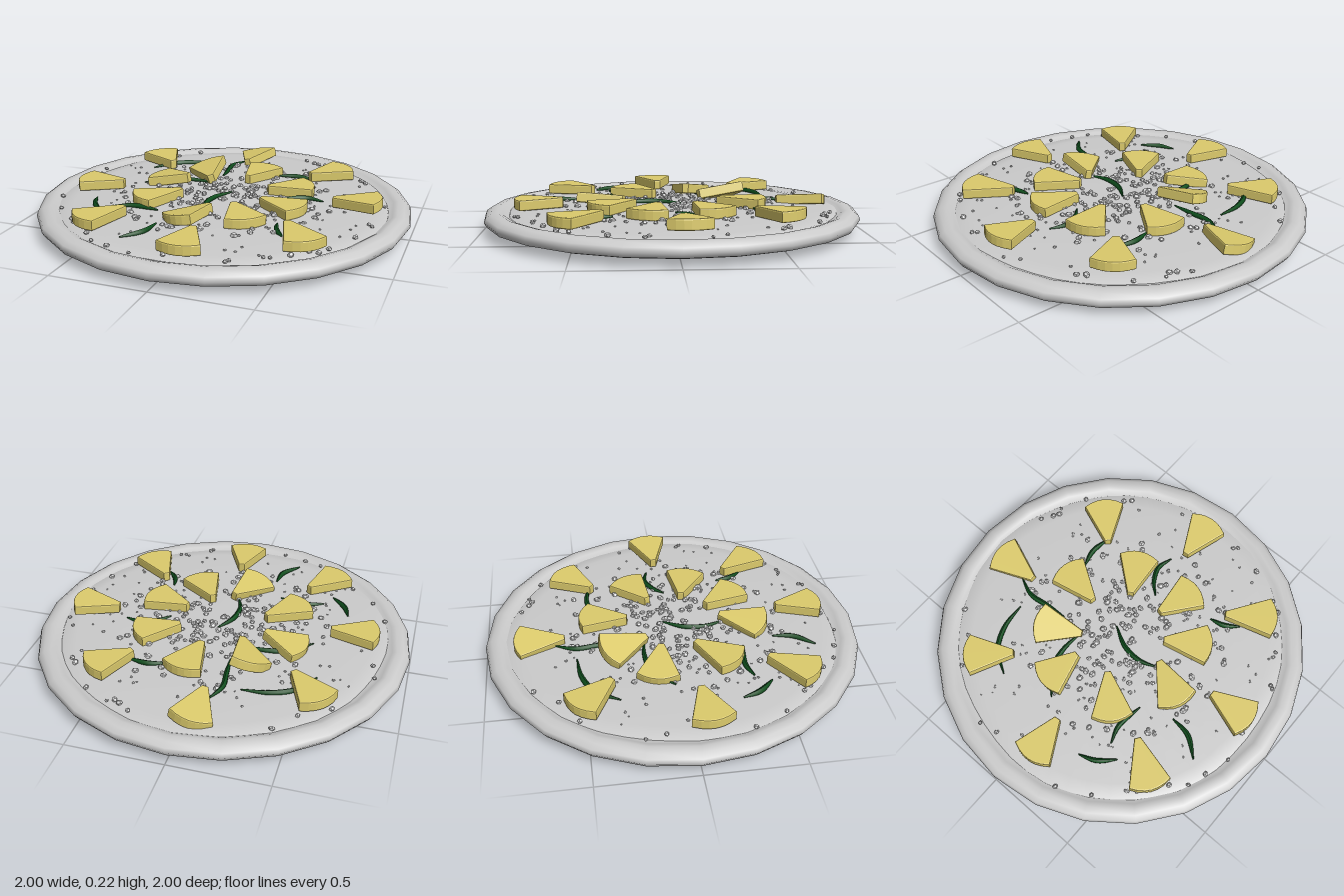
import * as THREE from 'three';
import { mergeGeometries } from 'three/addons/utils/BufferGeometryUtils.js';

const grey = () => new THREE.MeshStandardMaterial({ color: 0xcccccc });
const v2 = (p) => new THREE.Vector2(p[0], p[1]);

// Height of the gently domed topping layer
const surfaceY = (x, z) => 0.121 - 0.017 * (x * x + z * z);

function seeded(seed) {
  return () => {
    seed = (seed * 1664525 + 1013904223) % 4294967296;
    return seed / 4294967296;
  };
}

// Wedge with a blunt tip at the origin and a curved outer edge along +x
function wedgeGeometry(length) {
  const b = 0.007, end = length - b, w = 0.1;
  const s = new THREE.Shape();
  s.moveTo(b, -0.012);
  s.lineTo(end - 0.035, -w);
  s.quadraticCurveTo(end + 0.03, 0, end - 0.035, w);
  s.lineTo(b, 0.012);
  s.closePath();
  const g = new THREE.ExtrudeGeometry(s, {
    depth: 0.041, bevelThickness: b, bevelSize: b, bevelSegments: 2, curveSegments: 6,
  });
  return g.rotateX(-Math.PI / 2);
}

// Thin curved strip, tapered at both ends
function strip(points, material) {
  const curve = new THREE.CatmullRomCurve3(
    points.map(([x, z]) => new THREE.Vector3(x, surfaceY(x, z) + 0.007, z)));
  const rings = 14, sides = 6;
  const g = new THREE.TubeGeometry(curve, rings, 0.014, sides);
  const p = g.attributes.position;
  for (let i = 0; i <= rings; i++) {
    const c = curve.getPointAt(i / rings);
    const k = 0.25 + 0.75 * Math.sin(Math.PI * i / rings);
    for (let j = 0; j <= sides; j++) {
      const n = i * (sides + 1) + j;
      const v = new THREE.Vector3().fromBufferAttribute(p, n).sub(c).multiplyScalar(k).add(c);
      p.setXYZ(n, v.x, v.y, v.z);
    }
  }
  g.computeVertexNormals();
  return new THREE.Mesh(g, material);
}

export function createModel() {
  const model = new THREE.Group();

  // Crust with a shallow rounded underside and a raised rim
  const crust = new THREE.Mesh(new THREE.LatheGeometry([
    [0, 0], [0.3, 0.003], [0.6, 0.016], [0.95, 0.036], [0.985, 0.046], [1, 0.07],
    [0.992, 0.093], [0.965, 0.112], [0.93, 0.117], [0.905, 0.11], [0.88, 0.095], [0.8, 0.085], [0, 0.085],
  ].map(v2), 24), grey());
  crust.name = 'crust';
  model.add(crust);

  // Topping layer with a slightly uneven outline
  const layerGeo = new THREE.LatheGeometry(
    [[0.885, 0.085], [0.875, 0.1], [0.8, 0.11], [0.55, 0.116], [0.3, 0.119], [0, 0.121]].map(v2), 48);
  const lp = layerGeo.attributes.position;
  for (let i = 0; i < lp.count; i++) {
    const x = lp.getX(i), z = lp.getZ(i), a = Math.atan2(z, x);
    const k = 1 + (Math.hypot(x, z) > 0.7 ? 0.012 * Math.sin(3 * a + 0.6) + 0.006 * Math.sin(7 * a) : 0);
    lp.setXYZ(i, x * k, lp.getY(i), z * k);
  }
  layerGeo.computeVertexNormals();
  const layer = new THREE.Mesh(layerGeo, grey());
  layer.name = 'cheeseLayer';
  model.add(layer);

  // Fruit wedges: tip x, tip z, outer x, outer z, pitch, roll, lift
  const fruit = new THREE.Group();
  fruit.name = 'fruitWedges';
  const yellow = new THREE.MeshStandardMaterial({ color: 0xdccb6c });
  [
    [0.59, -0.03, 0.85, -0.05, 0.07, 0, 0.005],
    [0.37, -0.41, 0.55, -0.6, 0.03, 0, 0],
    [0.05, -0.24, 0.1, -0.5, 0, 0, 0],
    [0.21, -0.11, 0.44, -0.23, 0, 0, 0],
    [0.23, 0.08, 0.48, 0.15, 0, 0, 0],
    [0.12, 0.2, 0.27, 0.42, 0, 0, 0],
    [0.45, 0.36, 0.62, 0.59, 0, 0, 0],
    [0.055, 0.58, 0.07, 0.84, 0, 0, 0],
    [-0.38, 0.44, -0.54, 0.67, 0, 0, 0],
    [0.02, 0.26, -0.1, 0.5, 0, 0.2, 0],
    [-0.21, 0.09, -0.4, 0.29, 0, 0, 0],
    [-0.57, 0.06, -0.83, 0.09, 0, 0, 0],
    [-0.24, -0.09, -0.48, -0.14, -0.16, 0, 0.025],
    [-0.13, -0.16, -0.25, -0.4, 0.05, -0.32, 0.008],
    [-0.455, -0.36, -0.64, -0.56, 0, 0, 0],
    [-0.06, -0.58, -0.06, -0.85, 0, -0.2, -0.015],
  ].forEach(([tx, tz, ox, oz, pitch, roll, lift]) => {
    const wedge = new THREE.Mesh(wedgeGeometry(Math.hypot(ox - tx, oz - tz)), yellow);
    wedge.name = 'fruitWedge';
    wedge.position.set(tx, 0.122 + lift, tz);
    wedge.rotation.set(roll, Math.atan2(tz - oz, ox - tx), pitch, 'YZX');
    fruit.add(wedge);
  });
  model.add(fruit);

  // Green pepper strips, as x, z points on the surface
  const strips = new THREE.Group();
  strips.name = 'pepperStrips';
  const green = new THREE.MeshStandardMaterial({ color: 0x0f4f1d });
  [
    [[0.025, -0.05], [-0.035, 0.06], [-0.045, 0.17], [-0.01, 0.27]],
    [[-0.1, -0.63], [-0.14, -0.53], [-0.13, -0.42], [-0.12, -0.3]],
    [[-0.57, -0.33], [-0.49, -0.45], [-0.37, -0.51], [-0.23, -0.525]],
    [[0.18, -0.42], [0.28, -0.445], [0.39, -0.43]],
    [[0.3, -0.005], [0.36, -0.065], [0.44, -0.1], [0.53, -0.08]],
    [[-0.635, 0.26], [-0.6, 0.35], [-0.525, 0.43]],
    [[-0.485, 0.35], [-0.39, 0.32], [-0.24, 0.34]],
    [[-0.175, 0.51], [-0.19, 0.62], [-0.27, 0.725]],
    [[0.39, 0.31], [0.41, 0.39], [0.46, 0.46]],
    [[-0.5, -0.05], [-0.39, -0.15], [-0.26, -0.18], [-0.13, -0.17]],
  ].forEach((pts) => {
    const s = strip(pts, green);
    s.name = 'pepperStrip';
    strips.add(s);
  });
  model.add(strips);

  // Scattered crumbs: larger inside, fine flecks outside, a few along the rim
  const rand = seeded(7);
  const crumbs = [];
  function scatter(count, rMin, rMax, sMin, sMax) {
    for (let i = 0; i < count; i++) {
      const a = rand() * Math.PI * 2, r = rMin + (rMax - rMin) * rand();
      const x = r * Math.cos(a), z = r * Math.sin(a), s = sMin + (sMax - sMin) * rand();
      const g = new THREE.DodecahedronGeometry(s);
      g.scale(1, 0.75, 0.85).rotateY(rand() * 6).rotateX(rand() - 0.5);
      crumbs.push(g.translate(x, surfaceY(x, z) + s * 0.2, z));
    }
  }
  scatter(200, 0.05, 0.62, 0.012, 0.02);
  scatter(130, 0.3, 0.82, 0.005, 0.01);
  scatter(34, 0.82, 0.88, 0.01, 0.018);
  const crumbMat = grey();
  crumbMat.flatShading = true;
  const crumbMesh = new THREE.Mesh(mergeGeometries(crumbs), crumbMat);
  crumbMesh.name = 'crumbs';
  model.add(crumbMesh);

  return model;
}
